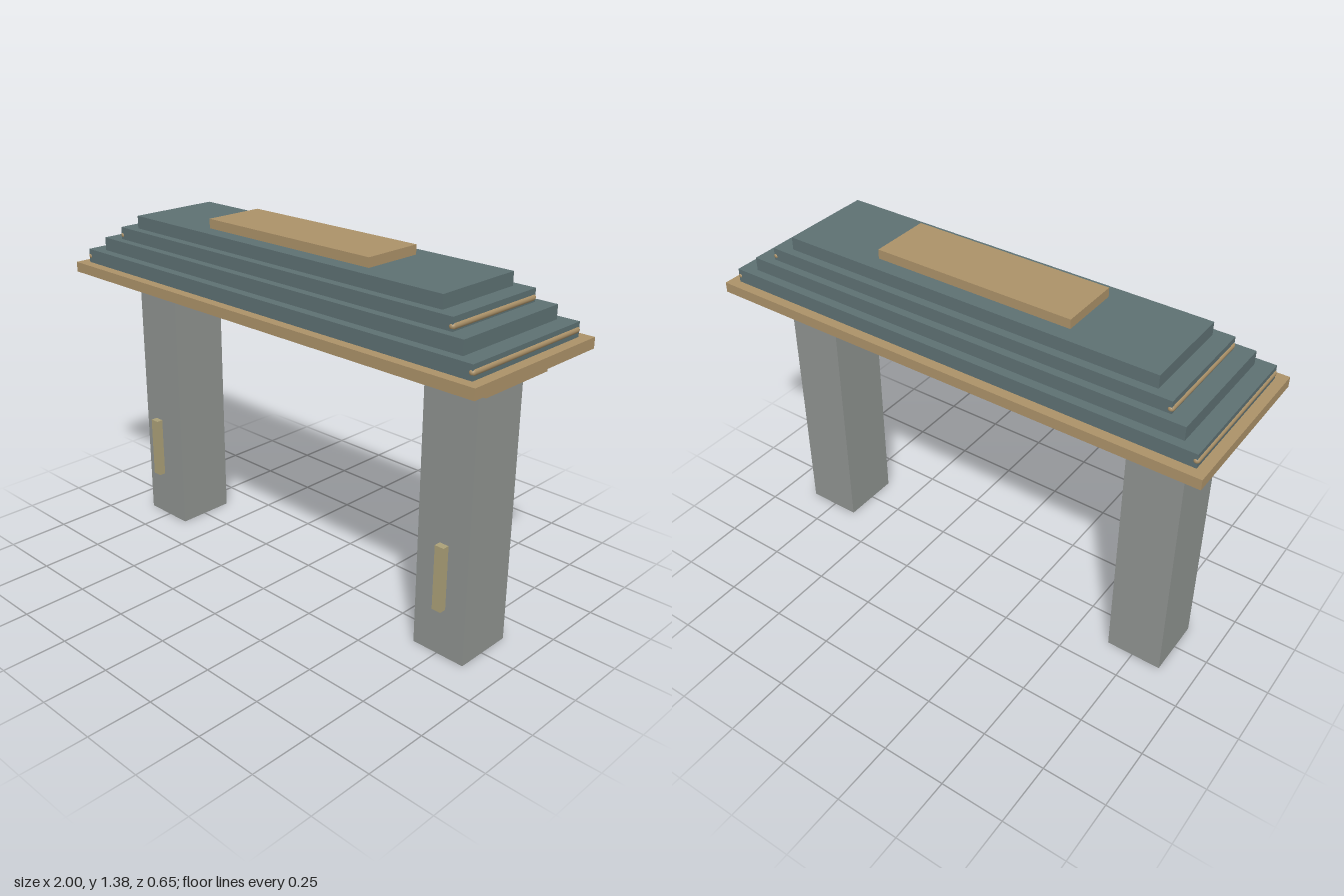
import * as THREE from 'three';

const material = (color) => new THREE.MeshStandardMaterial({ color });

export function createModel() {
  const gate = new THREE.Group();
  gate.name = 'gate';

  const stone = material(0x8e928f);
  const gold = material(0xab9168);
  const paleGold = material(0xaa9f77);
  const tile = material(0x5d7072);
  const darkWood = material(0x645a60);

  // Box with its base at y0 and its top at y1
  function slab(name, mat, width, y0, y1, depth, x = 0, z = 0) {
    const mesh = new THREE.Mesh(new THREE.BoxGeometry(width, y1 - y0, depth), mat);
    mesh.position.set(x, (y0 + y1) / 2, z);
    mesh.name = name;
    gate.add(mesh);
  }

  // Pillars, each with a capital and a slim plaque standing off the front
  for (const [side, s] of [['left', 1], ['right', -1]]) {
    slab(`${side}Pillar`, stone, 0.22, 0, 1.04, 0.241, s * 0.755, -0.008);
    slab(`${side}Capital`, gold, 0.337, 1.037, 1.057, 0.336, s * 0.756, -0.008);
    slab(`${side}Plaque`, paleGold, 0.038, 0.202, 0.453, 0.027, s * 0.77, 0.14);
  }

  // Lintel and eaves
  slab('lintel', darkWood, 1.876, 1.055, 1.097, 0.338, 0, -0.008);
  slab('eaves', gold, 2, 1.097, 1.137, 0.65);

  // Stepped roof: width, base, top, depth
  const tiers = [
    [1.922, 1.137, 1.191, 0.573],
    [1.792, 1.191, 1.243, 0.501],
    [1.656, 1.243, 1.291, 0.437],
    [1.522, 1.291, 1.341, 0.37],
  ];
  tiers.forEach(([w, y0, y1, d], i) => slab(`roofTier${i + 1}`, tile, w, y0, y1, d));
  slab('ridgeCap', gold, 0.8, 1.341, 1.377, 0.244);

  // Round-ended trim rods let into the ends of two tiers: x, y, length
  for (const [x, y, length] of [[0.955, 1.163, 0.58], [0.822, 1.259, 0.444]]) {
    const radius = 0.012;
    const geometry = new THREE.CapsuleGeometry(radius, length - 2 * radius, 4, 12);
    geometry.rotateX(Math.PI / 2);
    for (const s of [1, -1]) {
      const rod = new THREE.Mesh(geometry, gold);
      rod.position.set(s * x, y, 0);
      rod.name = s > 0 ? 'leftTrimRod' : 'rightTrimRod';
      gate.add(rod);
    }
  }

  return gate;
}
